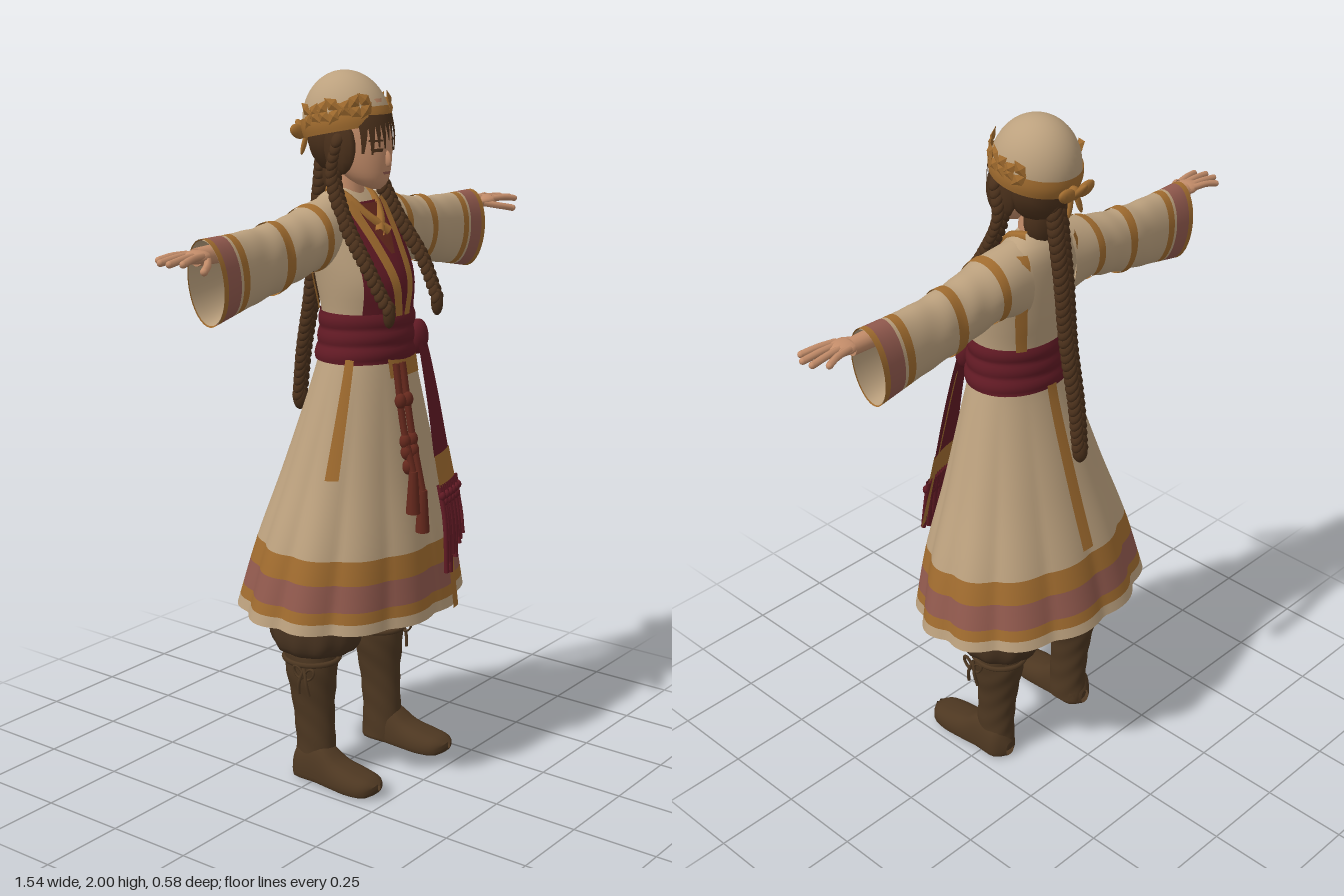
import * as THREE from 'three';
import { mergeVertices, mergeGeometries } from 'three/addons/utils/BufferGeometryUtils.js';

const mat = (name, color) => new THREE.MeshStandardMaterial({ name, color, side: THREE.DoubleSide });
const { PI, sin, cos, abs, sqrt, max } = Math;
const V = (x, y, z) => new THREE.Vector3(x, y, z);

// Smooth lookup in a table of rows keyed by their first column
function row(t, k) {
  let i = 0;
  while (i < t.length - 2 && k > t[i + 1][0]) i++;
  const a = t[i], b = t[i + 1], h = b[0] - a[0];
  const s = Math.min(1, max(0, (k - a[0]) / h));
  const p = t[max(0, i - 1)], n = t[Math.min(t.length - 1, i + 2)];
  return a.map((v, j) => {
    const ma = (b[j] - p[j]) / (b[0] - p[0]) * h, mb = (n[j] - v) / (n[0] - a[0]) * h;
    return v + ma * s * (1 - s) ** 2 + (b[j] - v) * s * s * (3 - 2 * s) - mb * s * s * (1 - s);
  });
}

// Grid surface from a rule f(u, v) -> [x, y, z]
function sheet(f, nu, nv) {
  const pos = [], idx = [];
  for (let j = 0; j <= nv; j++) for (let i = 0; i <= nu; i++) pos.push(...f(i / nu, j / nv));
  for (let j = 0; j < nv; j++) for (let i = 0; i < nu; i++) {
    const a = j * (nu + 1) + i, b = a + nu + 1;
    idx.push(a, b, a + 1, b, b + 1, a + 1);
  }
  let g = new THREE.BufferGeometry();
  g.setAttribute('position', new THREE.Float32BufferAttribute(pos, 3));
  g.setIndex(idx);
  g = mergeVertices(g, 1e-5);
  g.computeVertexNormals();
  return g;
}

// Oval body, or a slice of one, from rows [y, halfWidth, zFront, zBack]
function oval(t, y0, y1, { cx = 0, ripple = () => 1, nu = 40, nv = 20, drop = 0, a0 = 0, a1 = 2 * PI } = {}) {
  return sheet((u, v) => {
    const y = y0 + (y1 - y0) * v, a = a0 + u * (a1 - a0), [, rx, f, b] = row(t, y), r = ripple(a, y);
    return [cx + rx * r * cos(a), y - drop * sin(a), (f + b) / 2 + (f - b) / 2 * r * sin(a)];
  }, nu, nv);
}

// Ribbon lying on an oval body; path points are [y, x, halfWidth], y rising
function drape(t, path, off, back = false) {
  const y0 = path[0][0], y1 = path.at(-1)[0], s = back ? -1 : 1;
  return sheet((u, v) => {
    const y = y0 + (y1 - y0) * v, [, px, w] = row(path, y), x = px + (u * 2 - 1) * w;
    const [, rx, f, b] = row(t, y);
    return [x, y, (f + b) / 2 + s * ((f - b) / 2 * sqrt(max(0, 1 - (x / (rx + off)) ** 2)) + off)];
  }, 8, 16);
}

function ball(x, y, z, sx, sy, sz, rot = [0, 0, 0]) {
  return new THREE.SphereGeometry(1, 12, 9).scale(sx, sy, sz)
    .rotateX(rot[0]).rotateY(rot[1]).rotateZ(rot[2]).translate(x, y, z);
}
const tube = (pts, r, n = 12) =>
  new THREE.TubeGeometry(new THREE.CatmullRomCurve3(pts.map(p => V(...p))), n, r, 7);

// Plait made of alternating slanted strands along a curve, ending in a tuft
function braid(pts, r, n) {
  const curve = new THREE.CatmullRomCurve3(pts.map(p => V(...p))), parts = [];
  for (let i = 0; i < n; i++) {
    const p = curve.getPointAt(i / (n - 1)), k = r * (1 - 0.25 * i / n);
    for (const s of [-1, 1]) parts.push(ball(p.x + s * k * 0.45, p.y + s * k * 0.2, p.z,
      k * 0.62, k * 1.2, k * 0.85, [0, 0, s * 0.6]));
  }
  const e = curve.getPointAt(1);
  parts.push(ball(e.x, e.y - 0.02, e.z, r * 0.8, 0.035, r * 0.8));
  return mergeGeometries(parts);
}

const SKIRT = [[0.52, 0.37, 0.275, -0.29], [0.71, 0.325, 0.25, -0.235], [0.92, 0.253, 0.21, -0.165],
  [1.2, 0.165, 0.165, -0.08], [1.3, 0.132, 0.148, -0.066]];
const TORSO = [[1.22, 0.125, 0.145, -0.064], [1.36, 0.136, 0.155, -0.073], [1.45, 0.148, 0.155, -0.09],
  [1.55, 0.155, 0.105, -0.1], [1.62, 0.145, 0.06, -0.1], [1.66, 0.11, 0.035, -0.09], [1.69, 0.05, 0.01, -0.065]];
const SASH = [[1.225, 0.158, 0.172, -0.088], [1.3, 0.144, 0.17, -0.08], [1.37, 0.14, 0.162, -0.077]];
const HEAD = [[1.69, 0.012, 0.085, 0.06], [1.705, 0.042, 0.1, 0.01], [1.74, 0.066, 0.108, -0.04],
  [1.8, 0.083, 0.11, -0.09], [1.87, 0.087, 0.1, -0.1], [1.93, 0.07, 0.08, -0.09]];
const TROUSER = [[0.385, 0.08, 0.05, -0.11], [0.4, 0.108, 0.09, -0.14], [0.45, 0.12, 0.113, -0.163],
  [0.55, 0.112, 0.105, -0.15], [0.7, 0.1, 0.08, -0.13], [0.85, 0.08, 0.05, -0.08]];
const BOOT = [[0.02, 0.052, 0.05, -0.08], [0.1, 0.048, 0.045, -0.078], [0.22, 0.052, 0.04, -0.09],
  [0.34, 0.07, 0.045, -0.11], [0.4, 0.07, 0.04, -0.11]];
// Foot rows: z, halfWidth, height, base
const FOOT = [[-0.083, 0.015, 0.05, 0.005], [-0.06, 0.046, 0.1, 0], [0.02, 0.05, 0.115, 0], [0.08, 0.056, 0.08, 0],
  [0.15, 0.058, 0.064, 0], [0.2, 0.042, 0.055, 0.006], [0.22, 0.006, 0.04, 0.025]];
// Sleeve rows: x, top, bottom, zFront, zBack
const SLEEVE = [[0.08, 1.675, 1.46, 0.05, -0.1], [0.18, 1.655, 1.48, 0.06, -0.1], [0.25, 1.638, 1.462, 0.05, -0.092],
  [0.35, 1.625, 1.44, 0.042, -0.087], [0.45, 1.62, 1.42, 0.037, -0.08], [0.6, 1.62, 1.39, 0.042, -0.08]];

export function createModel() {
  const model = new THREE.Group();
  model.name = 'robedFigure';
  const cream = mat('cream cloth', 0xbca17e), gold = mat('gold trim', 0xa16c2f), red = mat('deep red cloth', 0x611a24),
    rose = mat('rose trim', 0x925a4e), hair = mat('brown hair', 0x4a301b), skin = mat('skin', 0xc48d6a),
    trouser = mat('trouser brown', 0x483320), leather = mat('boot leather', 0x4d3721), rust = mat('rust tassel', 0x66291d);
  const add = (name, geo, m) => {
    const mesh = new THREE.Mesh(geo, m);
    mesh.name = name;
    model.add(mesh);
    return mesh;
  };

  // Pleated skirt in horizontal bands, with a plain lining
  const pleat = k => (a, y) => k * (1 + (1.25 - y) * (0.085 * abs(sin(6 * a + 0.4)) - 0.05));
  const bands = [[0.52, 0.55, cream], [0.55, 0.582, gold], [0.582, 0.655, rose], [0.655, 0.72, gold], [0.72, 1.3, cream]];
  for (const [a, b, m] of bands)
    add('skirtBand', oval(SKIRT, a, b, { ripple: pleat(1), nu: 144, nv: b > 1 ? 20 : 3, drop: 0.012 }), m);
  add('skirtLining', oval(SKIRT, 0.525, 1.2, { ripple: pleat(0.975), nu: 144, drop: 0.012 }), cream);

  // Torso, crossed vest and trims
  add('torso', oval(TORSO, 1.22, 1.69), cream);
  add('vest', drape(TORSO, [[1.33, 0, 0.115], [1.5, 0, 0.115], [1.6, 0, 0.1], [1.655, 0, 0.07]], 0.006), red);
  add('innerCollar', drape(TORSO, [[1.52, 0, 0.008], [1.58, 0, 0.035], [1.65, 0, 0.055]], 0.009), rust);
  for (const s of [-1, 1]) {
    add('vestTrim', drape(TORSO, [[1.34, s * 0.015, 0.013], [1.5, s * 0.042, 0.016], [1.66, s * 0.076, 0.016]], 0.012), gold);
    add('backTrim', drape(TORSO, [[1.36, s * 0.085, 0.013], [1.5, s * 0.103, 0.014], [1.655, s * 0.1, 0.013]], 0.007, true), gold);
    add('collar', tube([[s * 0.05, 1.685, -0.05], [s * 0.054, 1.668, 0.01], [s * 0.03, 1.62, 0.06], [-s * 0.02, 1.575, 0.1]], 0.015), gold);
  }
  add('neck', new THREE.CylinderGeometry(0.038, 0.048, 0.14, 20).translate(0, 1.68, -0.02), skin);

  // Waist sash, knot and hanging tail
  add('sash', oval(SASH, 1.23, 1.365, {
    ripple: (a, y) => 1 + 0.04 * abs(sin((y - 1.23) / 0.135 * 3 * PI + 0.25 * sin(2 * a))), nv: 24 }), red);
  add('sashKnot', ball(0.085, 1.28, 0.155, 0.036, 0.05, 0.028), red);
  add('sashTail', drape(SKIRT, [[0.95, 0.117, 0.062], [1.1, 0.11, 0.055], [1.27, 0.085, 0.038]], 0.035), red);
  add('sashTailBand', drape(SKIRT, [[0.865, 0.125, 0.066], [0.955, 0.117, 0.063]], 0.037), gold);
  const fringe = [];
  for (let i = 0; i < 11; i++) {
    const x = 0.066 + i * 0.0125, end = 0.62 + 0.1 * (i / 10) + 0.025 * sin(i * 2.3), z = 0.262 - x * x;
    fringe.push(tube([[x, 0.87, z - 0.012], [x + 0.004 * sin(i * 3), 0.77, z + 0.01], [x - 0.003, end, z + 0.02]], 0.0075, 6),
      ball(x, 0.84 - 0.02 * (i % 2), z, 0.01, 0.013, 0.01));
  }
  add('sashFringe', mergeGeometries(fringe), red);

  // Ribbons on the skirt
  add('frontFlap', drape(SKIRT, [[1.19, 0, 0.065], [1.25, 0, 0.065]], 0.014), gold);
  add('frontRibbon', drape(SKIRT, [[0.72, 0.2, 0.02], [0.95, 0.192, 0.018], [1.23, 0.13, 0.014]], 0.026), gold);
  add('lowerRibbon', drape(SKIRT, [[0.51, 0.1, 0.016], [0.75, 0.095, 0.016]], 0.02), gold);
  add('sideRibbon', oval(SKIRT, 0.93, 1.25, { ripple: () => 1.07, nu: 4, a0: 2.62, a1: 2.8 }), gold);
  add('backRibbon', drape(SKIRT, [[0.76, 0, 0.02], [1.0, 0, 0.019], [1.25, 0, 0.017]], 0.016, true), gold);

  // Knotted cord tassels
  for (const [x, end] of [[-0.058, 0.83], [-0.025, 0.77]]) {
    const at = y => 0.19 + (1.2 - y) * 0.15;
    const parts = [tube([[x * 0.9, 1.23, 0.18], [x, 1.05, at(1.05)], [x, end + 0.1, at(end)]], 0.01)];
    for (const y of [1.13, 1.02, 0.99, end + 0.12]) parts.push(ball(x, y, at(y), 0.016, 0.022, 0.016));
    parts.push(new THREE.CylinderGeometry(0.012, 0.02, 0.12, 10).translate(x, end + 0.05, at(end)));
    add('cordTassel', mergeGeometries(parts), rust);
  }

  for (const s of [-1, 1]) {
    // Wide sleeve, its cuff bands and arm bands
    const sleeve = (x0, x1, k, nv) => sheet((u, v) => {
      const x = x0 + (x1 - x0) * v, a = u * 2 * PI, [, top, bot, f, b] = row(SLEEVE, x);
      const w = k * (1 + 0.025 * sin(x * 70 + 3 * sin(a)) * max(0, 1 - abs(x - 0.32) / 0.17));
      return [s * (x + 0.012 * sin(a) * (x / 0.6)), (top + bot) / 2 + (top - bot) / 2 * w * sin(a), (f + b) / 2 + (f - b) / 2 * w * cos(a)];
    }, 36, nv);
    add('sleeve', sleeve(0.08, 0.485, 1, 40), cream);
    [[0.485, 0.51, gold], [0.51, 0.52, cream], [0.52, 0.572, rose], [0.572, 0.59, gold]]
      .forEach(([a, b, m]) => add('cuffBand', sleeve(a, b, 1, 3), m));
    add('sleeveLining', sleeve(0.3, 0.588, 0.97, 10), cream);
    add('armBand', sleeve(0.312, 0.342, 1.04, 4), gold);
    add('shoulderBand', sleeve(0.168, 0.195, 1.035, 4), gold);

    // Forearm and hand
    const hand = [new THREE.CylinderGeometry(0.023, 0.026, 0.12, 14).rotateZ(-s * PI / 2).translate(s * 0.575, 1.58, -0.01),
      ball(s * 0.648, 1.583, 0.0, 0.045, 0.017, 0.036)];
    [[0.738, -0.045, -0.026], [0.765, -0.014, -0.009], [0.768, 0.018, 0.009], [0.75, 0.046, 0.025]].forEach(([x, z, z0]) =>
      hand.push(tube([[s * 0.65, 1.588, z0], [s * 0.7, 1.588, (z + z0) / 2], [s * (x - 0.007), 1.582, z]], 0.0095, 6),
        ball(s * (x - 0.007), 1.582, z, 0.0095, 0.009, 0.009)));
    hand.push(tube([[s * 0.62, 1.578, 0.015], [s * 0.66, 1.568, 0.05], [s * 0.695, 1.56, 0.07]], 0.01, 6),
      ball(s * 0.695, 1.56, 0.07, 0.01, 0.01, 0.01));
    add('hand', mergeGeometries(hand), skin);

    // Baggy trouser leg, boot, foot and knee cords
    add('trouserLeg', oval(TROUSER, 0.385, 0.85, { cx: s * 0.147,
      ripple: (a, y) => 1 + 0.03 * sin(11 * a) * max(0, 1 - abs(y - 0.42) / 0.12), nu: 66, nv: 30 }), trouser);
    add('boot', oval(BOOT, 0.02, 0.4, { cx: s * 0.16,
      ripple: (a, y) => 1 + 0.018 * sin(y * 80 + 5 * sin(a + 1)), nv: 40 }), leather);
    add('foot', sheet((u, v) => {
      const z = -0.083 + 0.303 * v, a = u * 2 * PI, [, w, h, base] = row(FOOT, z), c = cos(a), q = sin(a);
      return [s * (0.168 + 0.03 * max(0, z)) + w * Math.sign(c) * abs(c) ** 0.7,
        base + (q > 0 ? 0.022 + (h - base - 0.022) * q : 0.022 * (1 - abs(q) ** 0.5)), z];
    }, 28, 24), leather);
    const cords = [new THREE.TorusGeometry(0.074, 0.008, 6, 28).rotateX(PI / 2).scale(1, 1, 1.08).translate(s * 0.158, 0.365, -0.033)];
    for (const d of [-1, 1]) {
      cords.push(new THREE.TorusGeometry(0.02, 0.005, 6, 14).scale(0.6, 1, 1).rotateY(PI / 2).rotateX(d * 0.7).translate(s * 0.236, 0.345, d * 0.02),
        tube([[s * 0.234, 0.36, 0], [s * 0.242, 0.32, d * 0.012], [s * 0.236, 0.28, d * 0.018]], 0.005, 6));
    }
    add('kneeCord', mergeGeometries(cords), leather);

    // Front braid and hair framing the face
    add('frontBraid', braid([[s * 0.092, 1.83, 0.02], [s * 0.1, 1.74, 0.005], [s * 0.115, 1.62, 0.055], [s * 0.125, 1.5, 0.14],
      [s * 0.118, 1.42, 0.185], [s * 0.112, 1.395, 0.2]], 0.021, 24), hair);
    add('sideLock', ball(s * 0.085, 1.805, 0.015, 0.021, 0.075, 0.052), hair);

    // Eye and brow
    add('eye', drape(HEAD, [[1.793, s * 0.036, 0.013], [1.802, s * 0.036, 0.017]], 0.004), hair);
    add('brow', drape(HEAD, [[1.82, s * 0.038, 0.019], [1.825, s * 0.038, 0.018]], 0.004), hair);
  }

  // Head
  add('head', oval(HEAD, 1.69, 1.93), skin);
  add('nose', ball(0, 1.774, 0.108, 0.008, 0.024, 0.015, [-0.3, 0, 0]), skin);
  add('mouth', drape(HEAD, [[1.732, 0, 0.013], [1.739, 0, 0.018]], 0.003), rose);
  add('backHair', ball(0, 1.825, -0.045, 0.1, 0.105, 0.09), hair);
  add('napeHair', ball(0, 1.725, -0.05, 0.056, 0.08, 0.045), hair);
  for (let i = -4; i <= 4; i++) // fringe of hair below the cap
    add('bangLock', drape(HEAD, [[1.822 - 0.008 * abs(i) + 0.012 * (i % 2), i * 0.0175, 0.002], [1.89, i * 0.0165, 0.011]], 0.008), hair);
  add('backBraid', braid([[0, 1.78, -0.1], [0, 1.7, -0.11], [0, 1.58, -0.128], [0, 1.4, -0.147], [0, 1.22, -0.18], [0, 1.09, -0.195]], 0.027, 32), hair);

  // Tilted cap with band, leaf ornaments and rear bow
  const cap = new THREE.Group();
  cap.name = 'cap';
  cap.position.set(0, 1.862, -0.026);
  cap.rotation.x = -0.2;
  model.add(cap);
  const capPart = (name, geo, m) => cap.add(add(name, geo, m));
  capPart('capDome', new THREE.SphereGeometry(1, 36, 16, 0, 2 * PI, 0, PI / 2).scale(0.115, 0.14, 0.123), cream);
  capPart('capBand', sheet((u, v) => {
    const a = u * 2 * PI, r = 1 + 0.03 * sin(v * PI);
    return [0.116 * r * cos(a), -0.024 + 0.05 * v, 0.124 * r * sin(a)];
  }, 40, 6), gold);
  const leaves = [];
  for (const s of [-1, 1]) for (let i = 0; i < 7; i++) {
    const a = -0.35 + i * 0.24;
    for (const d of [-1, 1]) leaves.push(new THREE.OctahedronGeometry(1).scale(0.018, 0.028, 0.007)
      .rotateZ(d * 0.75).rotateY(s * (PI / 2 - a)).translate(s * 0.118 * cos(a), 0.032 + 0.016 * d * cos(i * 2), 0.126 * sin(a)));
  }
  capPart('capLeaves', mergeGeometries(leaves), gold);
  const bow = [ball(0, -0.01, -0.135, 0.018, 0.02, 0.018)];
  for (const s of [-1, 1]) bow.push(ball(s * 0.034, -0.002, -0.145, 0.032, 0.02, 0.012, [0, 0, s * 0.3]),
    ball(s * 0.015, -0.035, -0.145, 0.009, 0.034, 0.006, [0.3, 0, s * 0.3]));
  bow.push(ball(0, 0.008, -0.158, 0.016, 0.028, 0.01, [-0.5, 0, 0]));
  capPart('capBow', mergeGeometries(bow), gold);

  return model;
}
